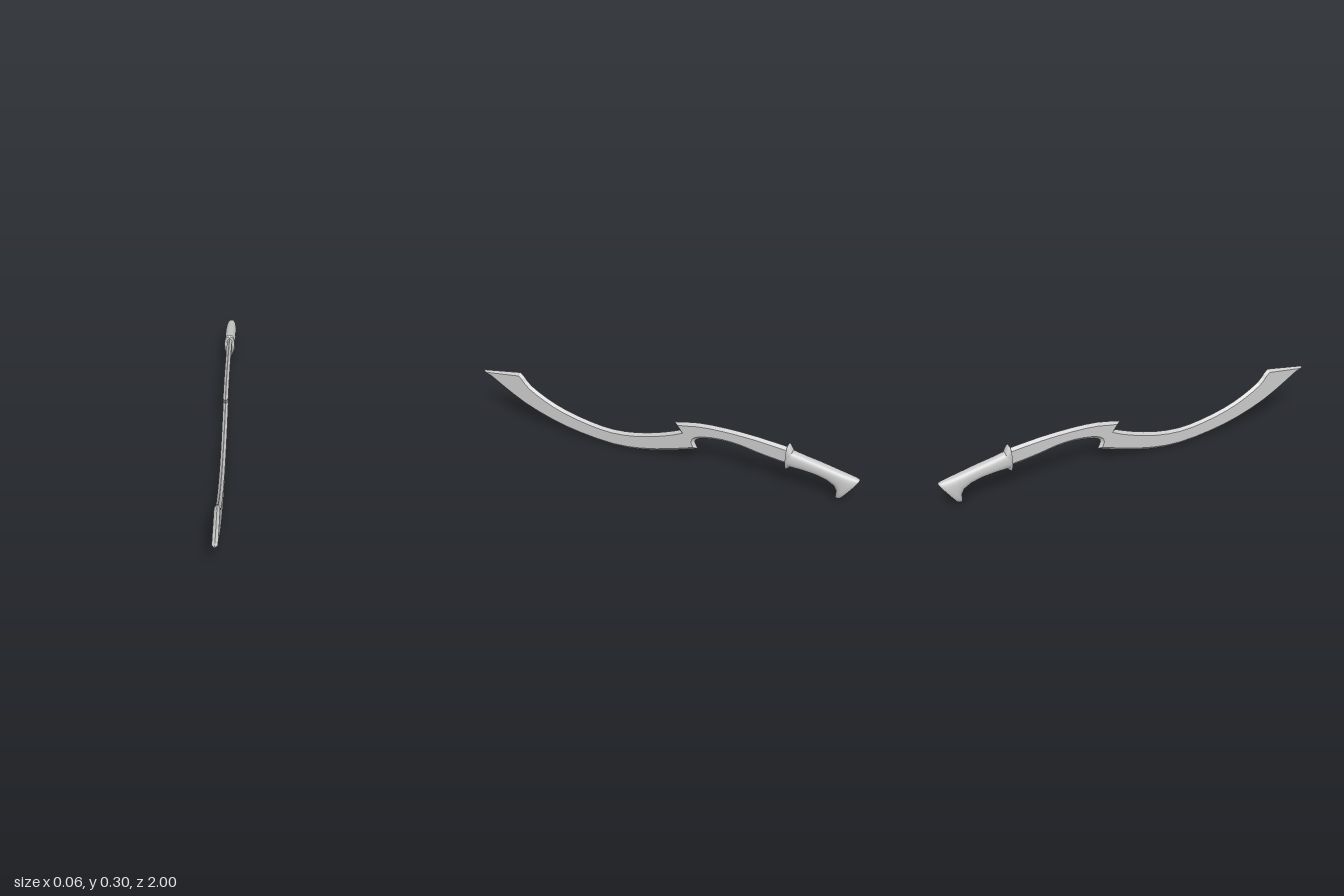
import * as THREE from 'three';

const steel = new THREE.MeshStandardMaterial({ color: 0xcccccc, flatShading: true });
const gripMaterial = new THREE.MeshStandardMaterial({ color: 0xcccccc });

// Curved runs of the blade outline as [-z, y]; they meet at sharp corners.
const RUNS = [
  // cutting edge, tip to lower notch
  [[-1, 0.268], [-0.89, 0.196], [-0.76, 0.121], [-0.6, 0.059], [-0.44, 0.021], [-0.25, 0],
    [-0.09, 0.013], [0.07, 0.051], [0.206, 0.096]],
  // lower notch and underside of the shank
  [[0.206, 0.096], [0.19, 0.131], [0.202, 0.149], [0.244, 0.163], [0.33, 0.172], [0.42, 0.166],
    [0.5, 0.15], [0.58, 0.137], [0.67, 0.126]],
  // back of the shank
  [[0.67, 0.22], [0.5, 0.239], [0.34, 0.246], [0.206, 0.241], [0.083, 0.217]],
  // upper notch and hollow back of the blade
  [[0.11, 0.177], [0.02, 0.142], [-0.115, 0.105], [-0.25, 0.091], [-0.38, 0.105], [-0.52, 0.139],
    [-0.625, 0.182], [-0.716, 0.236], [-0.753, 0.279], [-0.775, 0.3]],
];

function createBlade() {
  const outline = [];
  for (const run of RUNS) {
    const curve = new THREE.SplineCurve(run.map(([u, y]) => new THREE.Vector2(u, y)));
    for (const p of curve.getPoints((run.length - 1) * 2)) {
      const last = outline[outline.length - 1];
      if (!last || last.distanceTo(p) > 1e-4) outline.push(p);
    }
  }
  // The bevel runs inward from the outline to the flat cheeks.
  const geometry = new THREE.ExtrudeGeometry(new THREE.Shape(outline), {
    depth: 0.001, bevelEnabled: true, bevelSegments: 1,
    bevelThickness: 0.0125, bevelSize: 0.015, bevelOffset: -0.015,
  });
  geometry.translate(0, 0, -0.0005);
  geometry.rotateY(Math.PI / 2);
  const blade = new THREE.Mesh(geometry, steel);
  blade.name = 'blade';
  return blade;
}

// Loft of oval sections: [top z, top y, bottom z, bottom y, half width, taper to the bottom].
function loft(sections, sides = 32) {
  const positions = [], index = [];
  const ring = ([tz, ty, bz, by, hw, taper = 0]) => {
    for (let i = 0; i < sides; i++) {
      const a = (i / sides) * Math.PI * 2;
      const c = Math.cos(a), s = Math.sin(a);
      const k = Math.sign(c) * Math.abs(c) ** 0.85;
      const t = (1 - k) / 2;
      const x = hw * Math.sign(s) * Math.abs(s) ** 0.75 * (1 - taper * t * t);
      positions.push(x, ty + (by - ty) * t, tz + (bz - tz) * t);
    }
  };
  sections.forEach(ring);
  for (let j = 0; j < sections.length - 1; j++) {
    for (let i = 0; i < sides; i++) {
      const n = (i + 1) % sides;
      const a = j * sides + i, b = j * sides + n;
      index.push(a, a + sides, b, b, a + sides, b + sides);
    }
  }
  // End caps have their own vertices so that the rims stay crisp.
  for (const [section, front] of [[sections[0], true], [sections[sections.length - 1], false]]) {
    const start = positions.length / 3;
    ring(section);
    positions.push(0, (section[1] + section[3]) / 2, (section[0] + section[2]) / 2);
    for (let i = 0; i < sides; i++) {
      const a = start + i, b = start + (i + 1) % sides;
      index.push(start + sides, front ? a : b, front ? b : a);
    }
  }
  // The rings run clockwise seen from the front, so each triangle is turned over.
  for (let i = 0; i < index.length; i += 3) {
    [index[i + 1], index[i + 2]] = [index[i + 2], index[i + 1]];
  }
  const geometry = new THREE.BufferGeometry();
  geometry.setAttribute('position', new THREE.Float32BufferAttribute(positions, 3));
  geometry.setIndex(index);
  geometry.computeVertexNormals();
  return geometry;
}

function createHilt() {
  const hilt = new THREE.Group();
  hilt.name = 'hilt';
  // thin egg-shaped plate between blade and grip
  const guard = new THREE.Mesh(loft([
    [-0.652, 0.232, -0.647, 0.108, 0.029, 0.45],
    [-0.658, 0.241, -0.652, 0.099, 0.03, 0.45],
    [-0.666, 0.232, -0.66, 0.106, 0.03, 0.4],
    [-0.678, 0.208, -0.672, 0.12, 0.029, 0.2],
  ]), gripMaterial);
  guard.name = 'guard';
  // grip that sweeps down into a hooked pommel
  const grip = new THREE.Mesh(loft([
    [-0.665, 0.209, -0.66, 0.122, 0.029],
    [-0.74, 0.191, -0.73, 0.12, 0.029],
    [-0.81, 0.177, -0.795, 0.113, 0.029],
    [-0.875, 0.162, -0.85, 0.098, 0.029],
    [-0.925, 0.151, -0.885, 0.076, 0.03],
    [-0.95, 0.146, -0.898, 0.05, 0.03],
    [-0.97, 0.142, -0.897, 0.028, 0.03],
    [-0.987, 0.138, -0.897, 0.014, 0.029],
    [-0.997, 0.134, -0.905, 0.009, 0.027],
    [-1, 0.129, -0.917, 0.011, 0.024],
  ]), gripMaterial);
  grip.name = 'grip';
  hilt.add(guard, grip);
  return hilt;
}

export function createModel() {
  const model = new THREE.Group();
  model.name = 'sickleSword';
  model.add(createBlade(), createHilt());
  return model;
}
